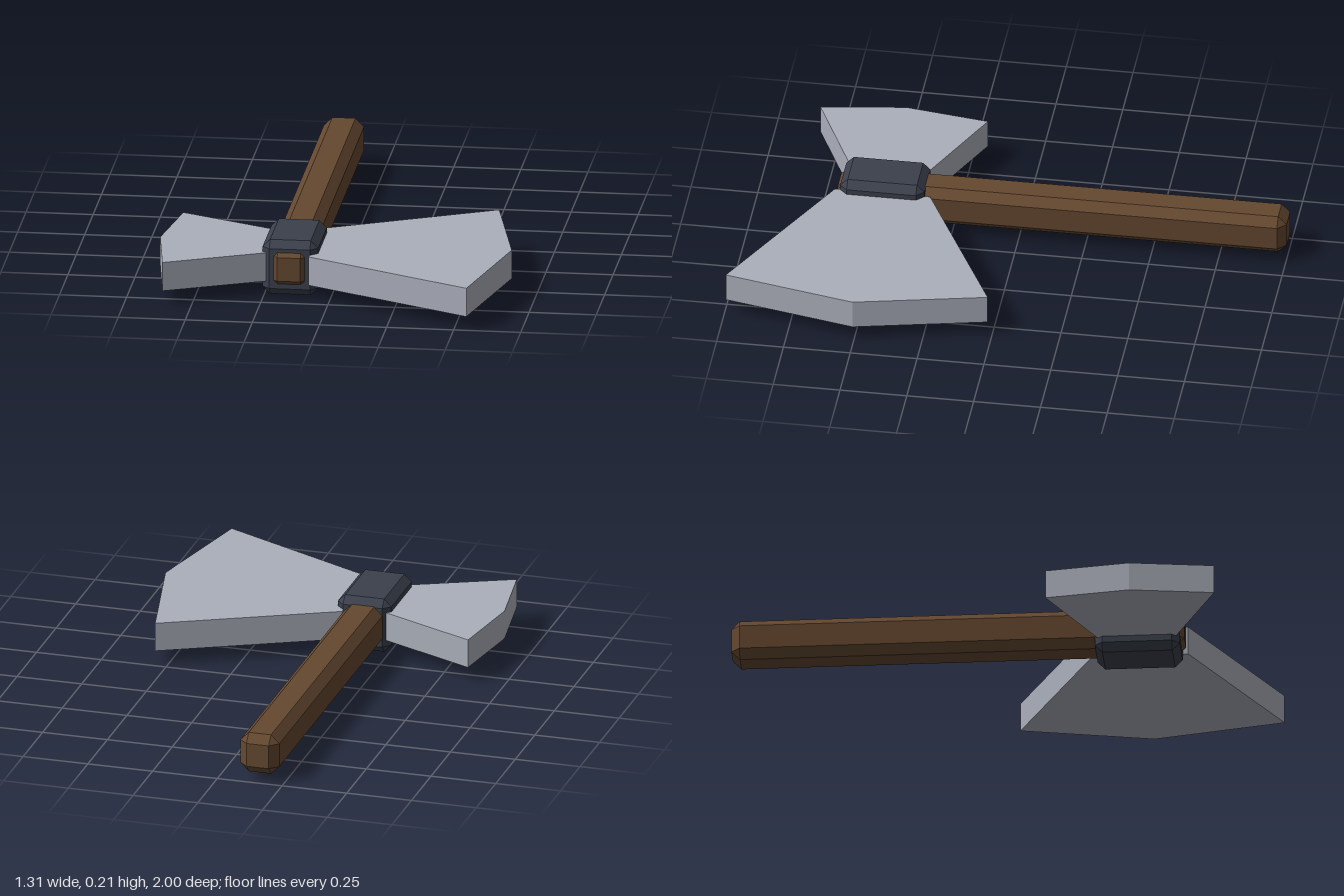
import * as THREE from 'three';
import { ConvexGeometry } from 'three/addons/geometries/ConvexGeometry.js';

const material = (color) => new THREE.MeshStandardMaterial({ color, flatShading: true });

// Box between two corners with every edge and corner bevelled by c
function bevelBox(min, max, c) {
  const half = max.map((v, i) => (v - min[i]) / 2);
  const points = [];
  for (const sx of [-1, 1]) for (const sy of [-1, 1]) for (const sz of [-1, 1]) {
    for (let axis = 0; axis < 3; axis++) {
      const p = [sx, sy, sz].map((s, i) => s * (half[i] - (i === axis ? 0 : c)));
      points.push(new THREE.Vector3(...p));
    }
  }
  const geometry = new ConvexGeometry(points);
  geometry.translate(...min.map((v, i) => v + half[i]));
  return geometry;
}

// Flat slab: outline of [x, z] points, extruded upwards
function slab(outline, y0, y1) {
  const shape = new THREE.Shape(outline.map(([x, z]) => new THREE.Vector2(x, -z)));
  const geometry = new THREE.ExtrudeGeometry(shape, { depth: y1 - y0, bevelEnabled: false });
  geometry.rotateX(-Math.PI / 2);
  geometry.translate(0, y0, 0);
  return geometry;
}

export function createModel() {
  const group = new THREE.Group();
  const wood = material(0x654830);
  const iron = material(0x3b404c);
  const steel = material(0xabafbb);
  const add = (name, geometry, mat) => {
    const mesh = new THREE.Mesh(geometry, mat);
    mesh.name = name;
    group.add(mesh);
  };

  // Long wooden shaft, just poking out through the collar
  add('handle', bevelBox([-0.23, 0.03, -1], [-0.08, 0.185, 0.68], 0.032), wood);

  // Iron block that holds both blades
  add('collar', bevelBox([-0.257, 0, 0.35], [-0.05, 0.21, 0.665], 0.028), iron);

  // Blades flare outwards to a pointed cutting edge, symmetric about z = middle
  const middle = 0.507;
  const blade = (name, rootX, rootHalf, tipX, tipHalf, edgeX) => add(name, slab([
    [rootX, middle - rootHalf], [tipX, middle - tipHalf], [edgeX, middle],
    [tipX, middle + tipHalf], [rootX, middle + rootHalf],
  ], 0.052, 0.162), steel);
  blade('largeBlade', -0.08, 0.178, 0.547, 0.49, 0.655);
  blade('smallBlade', -0.22, 0.135, -0.608, 0.313, -0.655);

  return group;
}
